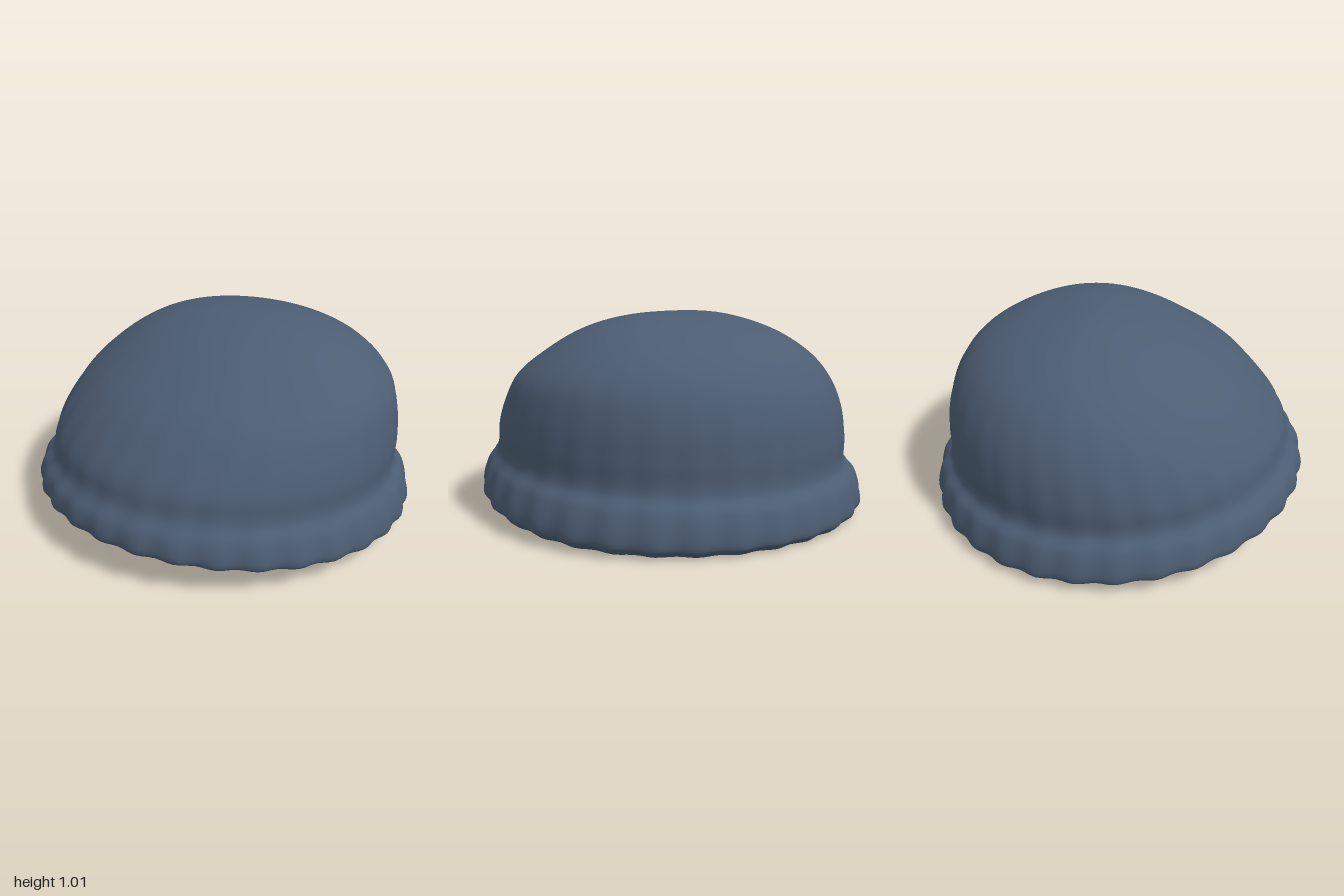
import * as THREE from 'three';

// Half profiles from the rim up to the last level below the apex: [horizontal, height]
const FRONT = [[.94, .155], [.98, .19], [.965, .28], [.905, .355], [.87, .455], [.79, .565], [.66, .7], [.5, .81], [.295, .92], [.085, .985]];
const BACK = [[-.94, .003], [-.975, .04], [-.95, .18], [-.895, .25], [-.89, .4], [-.875, .55], [-.82, .7], [-.72, .82], [-.545, .92], [-.33, .985]];
const LEFT = [[.95, .05], [.995, .095], [.965, .23], [.915, .305], [.91, .43], [.89, .56], [.84, .7], [.73, .81], [.545, .925], [.33, .99]];
const RIGHT = [[-.95, .03], [-1, .075], [-.97, .2], [-.915, .265], [-.905, .385], [-.865, .525], [-.79, .66], [-.685, .775], [-.5, .9], [-.23, .99]];
const APEX = { x: 0.05, y: 1.01, z: -0.12 };
const LEVELS = 10, RIBS = 32, SEGMENTS = RIBS * 6;

// One smooth arch from a profile, over the apex, down the opposite profile
function arch(a, b, apexOffset) {
  const pts = [...a, [apexOffset, APEX.y], ...[...b].reverse()];
  return new THREE.CatmullRomCurve3(pts.map(([h, y]) => new THREE.Vector3(h, y, 0)));
}

export function createModel() {
  const knit = new THREE.MeshStandardMaterial({ color: 0x4c5d73 });
  knit.name = 'slateBlueKnit';

  const alongZ = arch(FRONT, BACK, APEX.z);
  const alongX = arch(LEFT, RIGHT, APEX.x);

  // Rows run down the lining, around the rim and up the outside
  const rows = [];
  for (let u = LEVELS; u >= 0; u -= 0.25) rows.push({ u, inner: true });
  const liningEnd = rows.length - 1;
  for (let i = 0; i <= LEVELS * 6; i++) rows.push({ u: i / 6, inner: false });
  const brimEnd = liningEnd + 1 + 3 * 6;

  const positions = [];
  for (const { u, inner } of rows) {
    const t = u / LEVELS / 2;
    const f = alongZ.getPoint(t), b = alongZ.getPoint(1 - t);
    const l = alongX.getPoint(t), r = alongX.getPoint(1 - t);
    const shrink = inner ? 0.965 : 1;
    const drop = inner ? 0.015 - 0.045 * u / LEVELS : 0;
    // Ribs are strong on the brim and fade out over the crown
    const rib = u < 3 ? 0.02 - 0.004 * u : 0.008 * Math.max(0, 1 - (u - 3) / 5);
    for (let s = 0; s < SEGMENTS; s++) {
      const a = s / SEGMENTS * Math.PI * 2, c = Math.cos(a), d = Math.sin(a);
      const k = shrink * (1 - rib * (1 - Math.cos(RIBS * a)) / 2);
      const x = (l.x + r.x) / 2 + (l.x - r.x) / 2 * c * k;
      const z = (f.x + b.x) / 2 + (f.x - b.x) / 2 * d * k;
      const y = c * c * (l.y + r.y) / 2 + d * d * (f.y + b.y) / 2
        + c * (l.y - r.y) / 2 + d * (f.y - b.y) / 2 + drop;
      positions.push(x, y, z);
    }
  }

  // Triangles between two rows of the closed rings
  const strip = (from, to) => {
    const index = [];
    for (let i = from; i < to; i++) {
      for (let s = 0; s < SEGMENTS; s++) {
        const n = (s + 1) % SEGMENTS;
        const p = i * SEGMENTS + s, q = i * SEGMENTS + n;
        const up = p + SEGMENTS, uq = q + SEGMENTS;
        index.push(p, up, q, q, up, uq);
      }
    }
    return index;
  };

  // Normals come from the whole shell, so the parts meet smoothly
  const shell = new THREE.BufferGeometry();
  shell.setAttribute('position', new THREE.Float32BufferAttribute(positions, 3));
  shell.setIndex(strip(0, rows.length - 1));
  shell.computeVertexNormals();

  const group = new THREE.Group();
  group.name = 'knitCap';
  const addPart = (name, from, to) => {
    const geometry = new THREE.BufferGeometry();
    geometry.setAttribute('position', shell.getAttribute('position'));
    geometry.setAttribute('normal', shell.getAttribute('normal'));
    geometry.setIndex(strip(from, to));
    const mesh = new THREE.Mesh(geometry, knit);
    mesh.name = name;
    group.add(mesh);
  };
  addPart('lining', 0, liningEnd);
  addPart('ribbedBrim', liningEnd, brimEnd);
  addPart('crown', brimEnd, rows.length - 1);
  return group;
}
